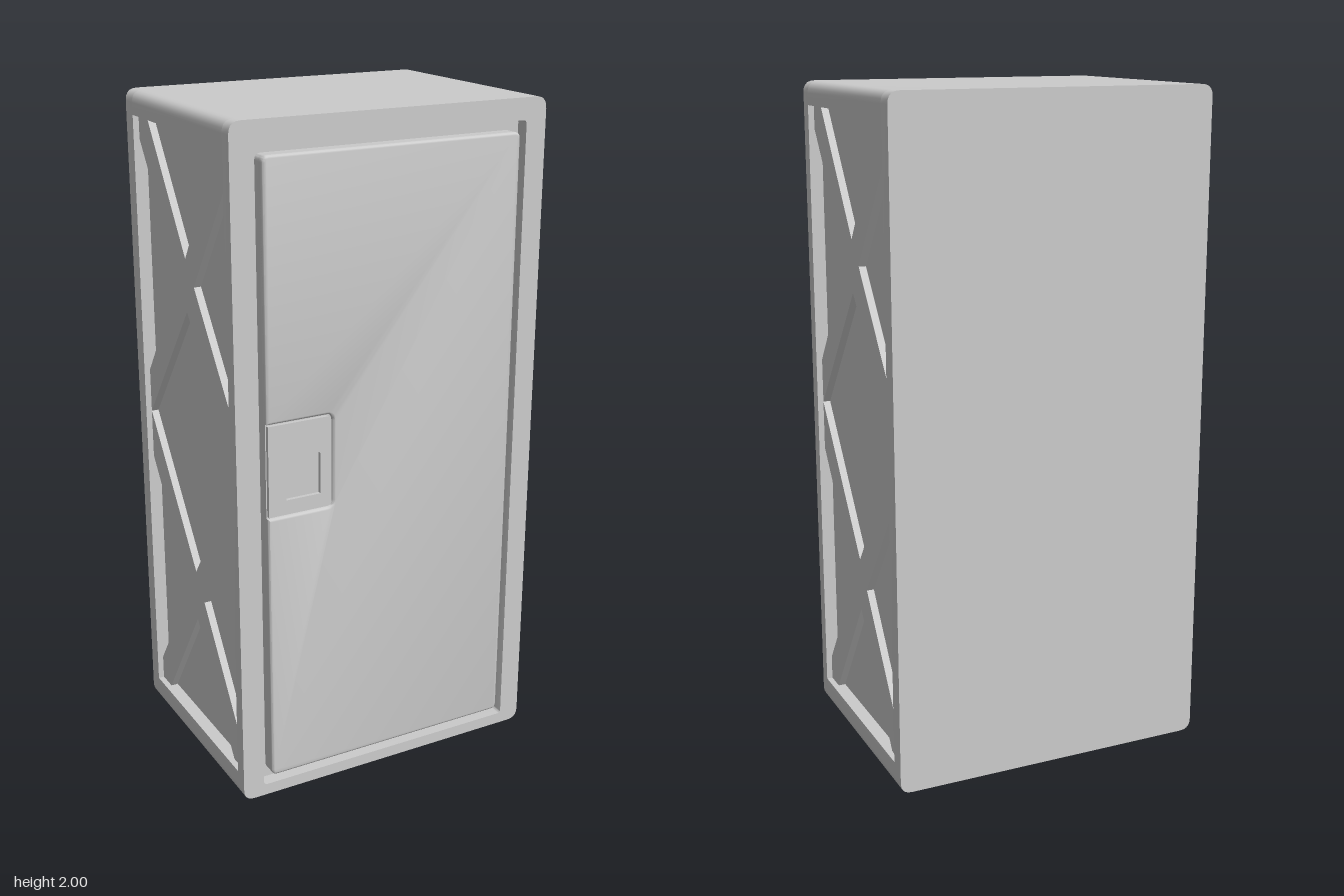
import * as THREE from 'three';
import { toCreasedNormals } from 'three/addons/utils/BufferGeometryUtils.js';

const grey = new THREE.MeshStandardMaterial({ color: 0xcccccc });

// Closed outline with each corner [x, y, radius] rounded off.
function outline(corners, Type = THREE.Shape) {
  const path = new Type();
  const n = corners.length;
  corners.forEach(([x, y, r = 0], i) => {
    const p = new THREE.Vector2(x, y);
    const toward = (k) => {
      const c = corners[(k + n) % n];
      return new THREE.Vector2(c[0], c[1]).sub(p).normalize().multiplyScalar(r).add(p);
    };
    const a = toward(i - 1);
    if (i === 0) path.moveTo(a.x, a.y);
    else path.lineTo(a.x, a.y);
    if (r > 0) {
      const b = toward(i + 1);
      path.quadraticCurveTo(x, y, b.x, b.y);
    }
  });
  path.closePath();
  return path;
}

const rect = (x0, x1, y0, y1, r = 0, Type) =>
  outline([[x0, y0, r], [x1, y0, r], [x1, y1, r], [x0, y1, r]], Type);

// Extrudes a shape from z0 to z1, optionally with bevelled edges.
function slab(name, shape, z0, z1, bevel = 0) {
  const geo = new THREE.ExtrudeGeometry(shape, {
    depth: z1 - z0 - 2 * bevel, curveSegments: 5,
    bevelEnabled: bevel > 0, bevelSize: bevel, bevelThickness: bevel,
    bevelOffset: -bevel, bevelSegments: 3,
  });
  geo.translate(0, 0, z0 + bevel);
  const mesh = new THREE.Mesh(toCreasedNormals(geo, 0.6), grey);
  mesh.name = name;
  return mesh;
}

export function createModel() {
  const model = new THREE.Group();
  model.name = 'cabinet';
  const W = 0.49, R = 0.035, back = -0.36, front = 0.35, inner = 0.31;

  // Cabinet core, whose flanks are the recessed side panels
  const core = new THREE.Mesh(new THREE.BoxGeometry(0.9, 1.96, 0.64), grey);
  core.name = 'core';
  core.position.set(0, 1, -0.01);
  model.add(core);

  // Back wall and front frame with the door opening
  model.add(slab('backWall', rect(-W, W, 0, 2, R), back, -inner));
  const frame = rect(-W, W, 0, 2, R);
  frame.holes.push(rect(-0.425, 0.425, 0.035, 1.937, 0.012, THREE.Path));
  model.add(slab('frontFrame', frame, inner, front));

  // Top and bottom caps
  model.add(slab('bottomCap', outline([[-W, 0, R], [W, 0, R], [W, 0.08], [-W, 0.08]]), -inner, inner));
  model.add(slab('topCap', outline([[-W, 1.93], [W, 1.93], [W, 2, R], [-W, 2, R]]), -inner, inner));

  // Crossed side braces: a plate with the open cells cut out
  const cells = [
    [[-0.245, 1.93], [0, 1.57], [0.245, 1.93]],
    [[0, 1.415], [-inner, 1.02], [0, 0.6], [inner, 1.02]],
    [[-0.245, 0.08], [0.245, 0.08], [0, 0.44]],
  ];
  for (const s of [-1, 1]) {
    cells.push([[s * inner, 1.86], [s * 0.055, 1.5], [s * inner, 1.155]]);
    cells.push([[s * inner, 0.87], [s * 0.055, 0.52], [s * inner, 0.155]]);
  }
  for (const side of [1, -1]) {
    const plate = rect(-0.32, 0.32, 0.06, 1.95);
    cells.forEach((c) => plate.holes.push(outline(c, THREE.Path)));
    const brace = slab(side > 0 ? 'leftBraces' : 'rightBraces', plate, 0.44, 0.472);
    brace.rotation.y = side * Math.PI / 2;
    model.add(brace);
  }

  // Door: backing slab plus a rounded face with a notch for the latch
  const door = new THREE.Group();
  door.name = 'door';
  const x0 = -0.4, x1 = 0.4, y0 = 0.065, y1 = 1.907, r = 0.018;
  door.add(slab('doorBacking', rect(x0, x1, y0, y1, r), 0.3, 0.346));
  door.add(slab('doorFace', outline([
    [x0, y0, r], [x1, y0, r], [x1, y1, r], [x0, y1, r],
    [x0, 1.175], [-0.195, 1.175, 0.02], [-0.195, 0.895, 0.02], [x0, 0.895],
  ]), 0.325, 0.36, 0.008));

  // Latch plate with a clipped finger recess
  const latch = outline([[-0.397, 0.9], [-0.2, 0.9, 0.016], [-0.2, 1.17, 0.016], [-0.397, 1.17]]);
  latch.holes.push(outline([
    [-0.343, 0.943], [-0.235, 0.943], [-0.235, 1.065], [-0.3, 1.117], [-0.343, 1.117],
  ], THREE.Path));
  door.add(slab('latchPlate', latch, 0.34, 0.358));
  model.add(door);

  return model;
}
